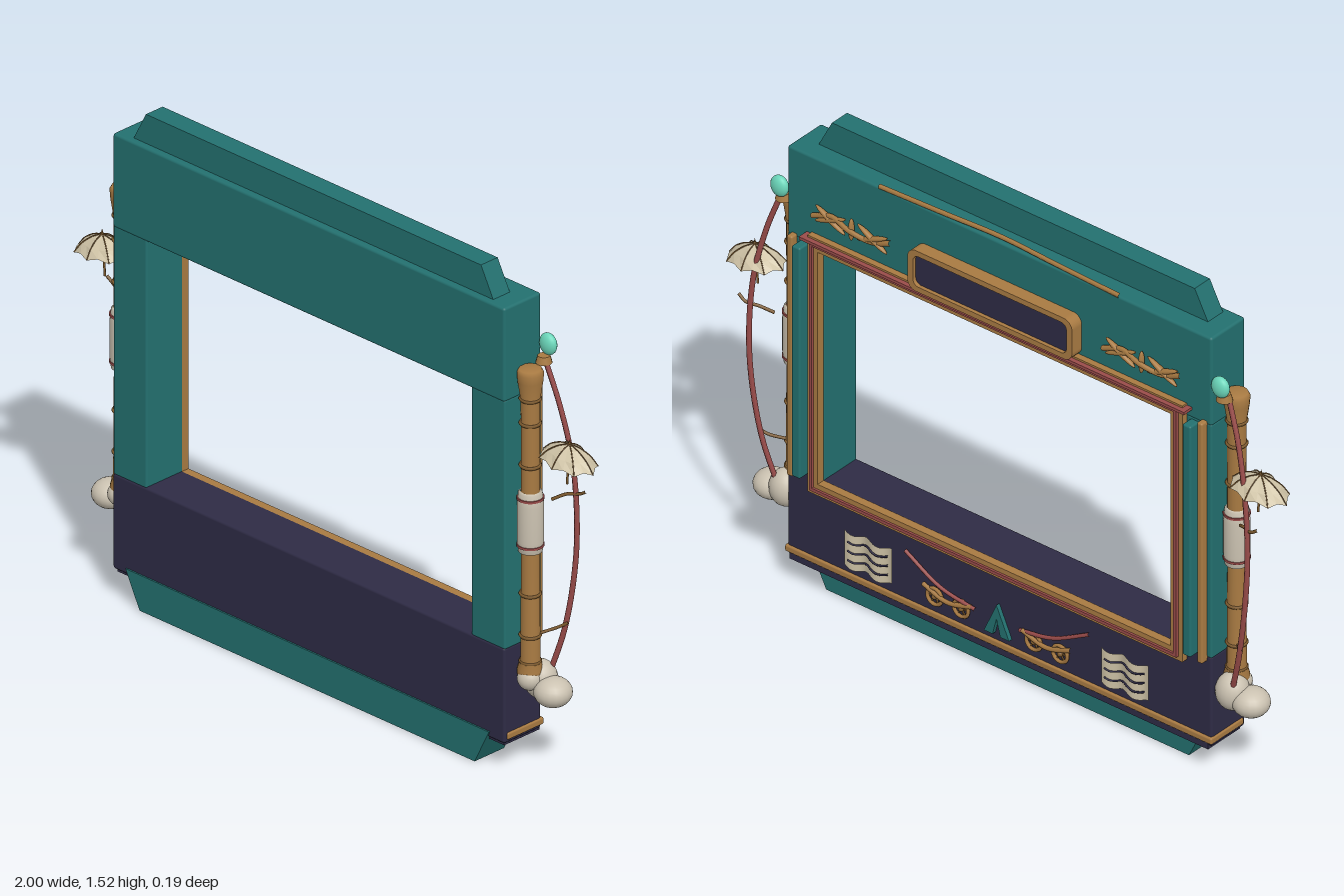
import * as THREE from 'three';
import { RoundedBoxGeometry } from 'three/addons/geometries/RoundedBoxGeometry.js';

const mat = (name, color, side = THREE.FrontSide) => {
  const m = new THREE.MeshStandardMaterial({ color, side });
  m.name = name;
  return m;
};
const V = (x, y, z) => new THREE.Vector3(x, y, z);

export function createModel() {
  const root = new THREE.Group();
  root.name = 'ornateFrame';
  const teal = mat('teal', 0x23706f), navy = mat('navy', 0x2e2b45), gold = mat('gold', 0xa87a42),
    bronze = mat('bronze', 0x7d5a2e), red = mat('dustyRed', 0x9a4c4a), bone = mat('bone', 0xcbc2b1),
    paper = mat('paper', 0xcfc3a6, THREE.DoubleSide), mint = mat('mint', 0x6bd6ba);

  const add = (name, geo, m, x = 0, y = 0, z = 0, parent = root) => {
    const mesh = new THREE.Mesh(geo, m);
    mesh.name = name;
    mesh.position.set(x, y, z);
    parent.add(mesh);
    return mesh;
  };
  // box given by its limits, with softened edges when r > 0
  const block = (name, m, x0, x1, y0, y1, z0, z1, r = 0) => {
    const s = [Math.abs(x1 - x0), y1 - y0, z1 - z0];
    const g = r ? new RoundedBoxGeometry(...s, 2, r) : new THREE.BoxGeometry(...s);
    return add(name, g, m, (x0 + x1) / 2, (y0 + y1) / 2, (z0 + z1) / 2);
  };
  const tube = (name, m, pts, r, parent = root) => {
    const c = new THREE.CatmullRomCurve3(pts);
    return add(name, new THREE.TubeGeometry(c, pts.length * 6, r, 6), m, 0, 0, 0, parent);
  };
  const ball = (name, m, x, y, z, rx, ry, rz) => {
    const b = add(name, new THREE.SphereGeometry(1, 20, 14), m, x, y, z);
    b.scale.set(rx, ry, rz);
    return b;
  };
  const prism = (name, m, pts, z0, z1) => {
    const shape = new THREE.Shape(pts.map(p => new THREE.Vector2(...p)));
    const g = new THREE.ExtrudeGeometry(shape, { depth: z1 - z0, bevelEnabled: false });
    return add(name, g, m, 0, 0, z0);
  };

  // main frame
  block('topBeam', teal, -0.76, 0.76, 1.145, 1.435, -0.055, 0.09, 0.008);
  block('bottomPanel', navy, -0.76, 0.76, 0.09, 0.385, -0.055, 0.09, 0.008);
  block('bottomLip', navy, -0.75, 0.75, 0.08, 0.1, -0.058, 0.08);
  block('bottomTrim', gold, -0.765, 0.765, 0.1, 0.122, -0.062, 0.08, 0.006);
  prism('crown', teal, [[-0.7, 1.43], [0.7, 1.43], [0.65, 1.525], [-0.65, 1.525]], 0.005, 0.07);
  prism('base', teal, [[-0.65, 0], [0.65, 0], [0.705, 0.11], [-0.705, 0.11]], -0.02, 0.095);

  // curved trim along the top back edge
  tube('crestTrim', gold, [V(-0.43, 1.438, -0.054), V(-0.2, 1.443, -0.05), V(0, 1.447, -0.045),
    V(0.2, 1.443, -0.05), V(0.43, 1.438, -0.054)], 0.007);

  // name plaque, left blank
  const plaque = (w, h, r) => {
    const s = new THREE.Shape();
    s.moveTo(-w + r, -h).lineTo(w - r, -h).absarc(w - r, -h + r, r, -Math.PI / 2, 0);
    s.absarc(w - r, h - r, r, 0, Math.PI / 2).absarc(-w + r, h - r, r, Math.PI / 2, Math.PI);
    s.absarc(-w + r, -h + r, r, Math.PI, Math.PI * 1.5);
    return s;
  };
  const rim = plaque(0.295, 0.067, 0.03);
  rim.holes.push(plaque(0.275, 0.05, 0.02));
  add('plaqueRim', new THREE.ExtrudeGeometry(rim, { depth: 0.045, bevelEnabled: false, curveSegments: 6 }),
    gold, 0, 1.25, -0.097);
  add('plaquePanel', new THREE.ExtrudeGeometry(plaque(0.28, 0.055, 0.02), { depth: 0.03, bevelEnabled: false }),
    navy, 0, 1.25, -0.085);

  // moulding around the opening: gold, red, gold
  [[0.632, 0.648, gold, -0.078], [0.648, 0.658, red, -0.085], [0.658, 0.672, gold, -0.075]]
    .forEach(([a, b, m, z]) => {
      const d = a - 0.632, e = b - 0.632;
      for (const s of [-1, 1]) block('sideMoulding', m, s * a, s * b, 0.383 - e, 1.147 + e, z, -0.05);
      block('topMoulding', m, -b, b, 1.147 + d, 1.147 + e, z, -0.05);
      block('bottomMoulding', m, -b, b, 0.383 - e, 0.383 - d, z, -0.05);
    });
  block('headMoulding', red, -0.69, 0.69, 1.172, 1.181, -0.09, -0.05);

  // pole profile: flared foot, shaft with node rings, flared top
  const pole = [[0, 0.27], [0.036, 0.27], [0.037, 0.31], [0.028, 0.345], [0.026, 0.7], [0.027, 1.14],
    [0.036, 1.2], [0.038, 1.225], [0.032, 1.237], [0, 1.237]].map(p => new THREE.Vector2(...p));

  for (const s of [-1, 1]) {
    const px = s * 0.79, pz = 0.018;
    block('sidePost', teal, s * 0.63, s * 0.76, 0.38, 1.15, -0.055, 0.088, 0.006);
    block('tealPilaster', teal, s * 0.685, s * 0.715, 0.383, 1.143, -0.092, -0.05, 0.006);
    block('goldPilaster', gold, s * 0.725, s * 0.745, 0.367, 1.158, -0.078, -0.05, 0.006);

    // pole with rings and wrapped sleeve
    add('pole', new THREE.LatheGeometry(pole, 20), gold, px, 0, pz);
    for (const y of [0.335, 0.415, 0.543, 0.94, 1.07, 1.145]) {
      const ring = add('poleRing', new THREE.TorusGeometry(0.028, 0.005, 6, 20), bronze, px, y, pz);
      ring.rotation.x = Math.PI / 2;
    }
    const sleeve = [[0.027, 0.672], [0.034, 0.675], [0.038, 0.71], [0.038, 0.82], [0.034, 0.857], [0.027, 0.86]];
    add('sleeve', new THREE.LatheGeometry(sleeve.map(p => new THREE.Vector2(...p)), 20), bone, px, 0, pz);
    for (const y of [0.695, 0.84])
      add('sleeveStripe', new THREE.CylinderGeometry(0.039, 0.039, 0.007, 20), red, px, y, pz);

    // jewel and its seat
    ball('jewel', mint, s * 0.79, 1.288, -0.052, 0.03, 0.033, 0.019);
    add('jewelSeat', new THREE.CylinderGeometry(0.018, 0.024, 0.022, 12), gold, s * 0.79, 1.248, -0.035);

    // rounded stones at the foot
    ball('outerStone', bone, s * 0.858, 0.255, -0.002, 0.055, 0.043, 0.055);
    ball('innerStone', bone, s * 0.8, 0.272, -0.012, 0.05, 0.058, 0.048);
    ball('frontStone', bone, s * 0.795, 0.285, 0.025, 0.036, 0.035, 0.036);

    // bent branch with twigs
    tube('branch', red, [V(s * 0.8, 1.25, -0.03), V(s * 0.845, 1.12, -0.042), V(s * 0.88, 0.96, -0.055),
      V(s * 0.893, 0.78, -0.06), V(s * 0.885, 0.62, -0.06), V(s * 0.855, 0.43, -0.05), V(s * 0.81, 0.27, -0.03)], 0.008);
    tube('upperTwig', bronze, [V(s * 0.93, 0.878, -0.06), V(s * 0.905, 0.862, -0.06), V(s * 0.87, 0.855, -0.045),
      V(s * 0.835, 0.835, -0.02)], 0.005);
    tube('lowerTwig', bronze, [V(s * 0.87, 0.455, -0.05), V(s * 0.845, 0.438, -0.035), V(s * 0.81, 0.42, 0)], 0.005);

    // parasol with scalloped edge and ribs
    const parasol = new THREE.Group();
    parasol.name = 'parasol';
    parasol.position.set(s * 0.902, 0.975, -0.018);
    parasol.rotation.z = -s * 0.08;
    parasol.scale.set(1, 1, 0.69);
    root.add(parasol);
    const prof = [[0.097, 0], [0.07, 0.028], [0.035, 0.048], [0.002, 0.057]];
    let canopy = new THREE.LatheGeometry(prof.map(p => new THREE.Vector2(...p)), 16);
    const pos = canopy.attributes.position;
    for (let i = 0; i < pos.count; i++) {
      const a = Math.atan2(pos.getX(i), pos.getZ(i)), k = Math.abs(Math.sin(a * 4));
      const f = 1 - 0.1 * k;
      pos.setXYZ(i, pos.getX(i) * f, pos.getY(i) + (pos.getY(i) < 0.01 ? 0.008 * k : 0), pos.getZ(i) * f);
    }
    canopy = canopy.toNonIndexed();
    canopy.computeVertexNormals();
    add('canopy', canopy, paper, 0, 0, 0, parasol);
    for (let i = 0; i < 8; i++) {
      const a = i * Math.PI / 4;
      tube('rib', bronze, prof.map(([r, y]) => V(Math.sin(a) * r, y, Math.cos(a) * r)), 0.002, parasol);
    }
    add('parasolTip', new THREE.ConeGeometry(0.006, 0.02, 8), bronze, 0, 0.064, 0, parasol);
    add('parasolShaft', new THREE.CylinderGeometry(0.004, 0.004, 0.13, 8), bronze, 0, -0.005, 0, parasol);

    // crossed leaf ornament on the top beam
    const ox = s * 0.52, oy = 1.265, oz = -0.068;
    tube('scrollStem', gold, [V(ox - 0.14, oy + 0.012, oz), V(ox - 0.07, oy - 0.012, oz), V(ox, oy, oz - 0.01),
      V(ox + 0.07, oy + 0.012, oz), V(ox + 0.14, oy - 0.012, oz)], 0.008);
    for (const [dx, a] of [[-0.075, 0.5], [-0.075, -0.4], [0.075, 0.5], [0.075, -0.4], [0, 1.57]]) {
      const leaf = ball('leaf', gold, ox + dx, oy, oz, dx ? 0.06 : 0.036, 0.008, 0.01);
      leaf.rotation.z = a;
    }

    // wavy sheet with three painted lines
    const wave = x => 0.006 * Math.sin(x * 70);
    const sheet = new THREE.PlaneGeometry(0.165, 0.115, 16, 1);
    const sp = sheet.attributes.position;
    for (let i = 0; i < sp.count; i++) {
      sp.setZ(i, wave(sp.getX(i)));
      sp.setY(i, sp.getY(i) + wave(sp.getX(i) + 0.02));
    }
    sheet.computeVertexNormals();
    add('sheet', sheet, paper, s * 0.46, 0.207, -0.067);
    for (const dy of [-0.03, 0, 0.03]) {
      const pts = Array.from({ length: 9 }, (_, i) => (i - 4) * 0.017)
        .map(x => V(s * 0.46 + x, 0.207 + dy + wave(x + 0.02), -0.069 + wave(x)));
      tube('sheetLine', navy, pts, 0.003);
    }

    // small two-wheeled cart with a slanted red shaft
    tube('cartShaft', red, [V(s * 0.33, 0.285, -0.064), V(s * 0.2, 0.222, -0.07), V(s * 0.08, 0.195, -0.064)], 0.006);
    for (const x of [0.13, 0.225]) {
      add('cartWheel', new THREE.TorusGeometry(0.026, 0.006, 6, 18), gold, s * x, 0.178, -0.064);
      ball('wheelHub', bronze, s * x, 0.178, -0.064, 0.009, 0.009, 0.009);
      for (let i = 0; i < 3; i++) {
        const spoke = add('spoke', new THREE.BoxGeometry(0.05, 0.004, 0.005), bronze, s * x, 0.178, -0.062);
        spoke.rotation.z = i * Math.PI / 3;
      }
    }
    tube('cartBed', gold, [V(s * 0.09, 0.2, -0.066), V(s * 0.178, 0.182, -0.07), V(s * 0.265, 0.205, -0.066)], 0.007);
  }

  // centre tent with an open door
  prism('tent', teal, [[-0.045, 0.145], [-0.014, 0.145], [0, 0.2], [0.014, 0.145], [0.045, 0.145], [0, 0.245]],
    -0.068, -0.05);
  return root;
}
